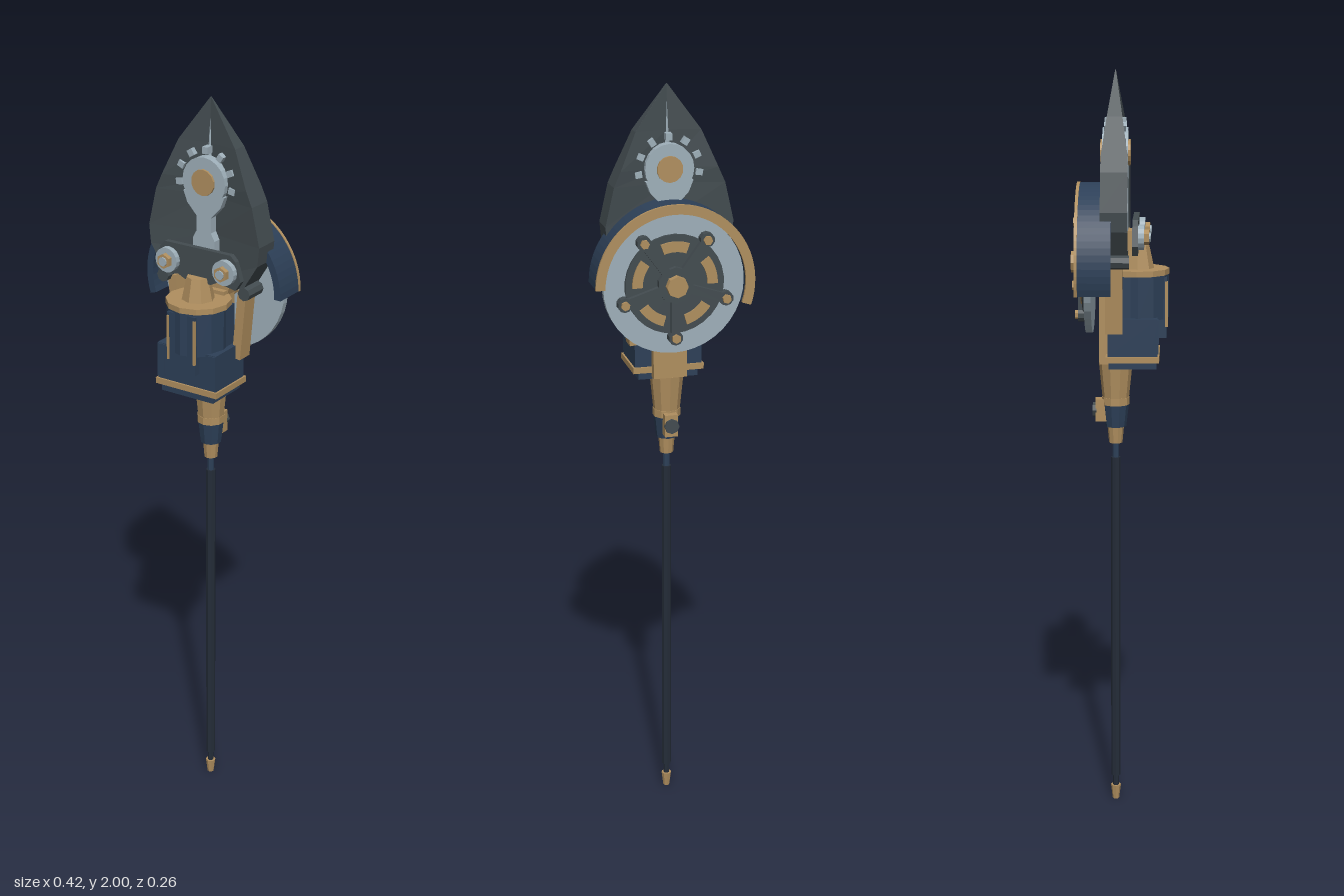
import * as THREE from 'three';

const mat = (color) => new THREE.MeshStandardMaterial({ color, flatShading: true, side: THREE.DoubleSide });
const navy = mat(0x2d4058), dark = mat(0x434c50), black = mat(0x242c38), tan = mat(0xb08f5f), grey = mat(0x9fb0ba);
const AXIS = -0.013; // z of the shaft and blade
const WY = 1.505;    // height of the wheel hub

export function createModel() {
  const model = new THREE.Group();
  const add = (name, geo, m, x = 0, y = 0, z = 0, parent = model) => {
    const mesh = new THREE.Mesh(geo, m);
    mesh.name = name;
    mesh.position.set(x, y, z);
    parent.add(mesh);
    return mesh;
  };
  const box = (name, m, w, h, d, x, y, z, parent) => add(name, new THREE.BoxGeometry(w, h, d), m, x, y, z, parent);
  // upright round part between two heights
  const post = (name, m, y0, y1, r0, r1, z = AXIS, n = 10) =>
    add(name, new THREE.CylinderGeometry(r1, r0, y1 - y0, n), m, 0, (y0 + y1) / 2, z);
  // round part facing front and back
  const disc = (name, m, r, z0, z1, x, y, n = 12, parent = model) =>
    add(name, new THREE.CylinderGeometry(r, r, z1 - z0, n).rotateX(Math.PI / 2), m, x, y, (z0 + z1) / 2, parent);
  // flat outline extruded along z
  const plate = (name, m, shape, z0, z1, x = 0, y = 0, parent = model) =>
    add(name, new THREE.ExtrudeGeometry(shape, { depth: z1 - z0, bevelEnabled: false, curveSegments: 20 }), m, x, y, z0, parent);
  const outline = (pts) => new THREE.Shape(pts.map((p) => new THREE.Vector2(...p)));
  const mirrored = (half) => outline([...half, ...half.slice().reverse().map(([x, y]) => [-x, y])]);
  const band = (r0, r1, a0, a1) => {
    const s = new THREE.Shape();
    s.absarc(0, 0, r1, a0, a1, false);
    s.absarc(0, 0, r0, a1, a0, true);
    return s;
  };

  // shaft and pommel
  post('pommel', tan, 0, 0.04, 0.009, 0.014, AXIS, 8);
  post('pommelNeck', black, 0.04, 0.07, 0.008, 0.008, AXIS, 8);
  post('shaft', black, 0.07, 0.98, 0.013, 0.013, AXIS, 8);
  post('shaftNeck', navy, 0.98, 1.02, 0.009, 0.009, AXIS, 8);
  post('lowerSocket', tan, 1.02, 1.065, 0.018, 0.022);
  post('socketRing', navy, 1.065, 1.08, 0.028, 0.03);
  post('collar', navy, 1.08, 1.135, 0.03, 0.036);
  post('collarRing', tan, 1.125, 1.145, 0.037, 0.037);
  post('neck', tan, 1.14, 1.24, 0.035, 0.045);

  // valve behind the collar
  box('valveBlock', tan, 0.035, 0.06, 0.03, 0, 1.11, -0.052);
  disc('valveRing', dark, 0.02, -0.074, -0.064, 0, 1.11, 8);

  // engine housing
  box('housingFoot', navy, 0.16, 0.02, 0.125, 0, 1.243, 0.033);
  box('housingFlange', tan, 0.19, 0.016, 0.14, 0, 1.26, 0.033);
  box('housing', navy, 0.18, 0.1, 0.13, 0, 1.317, 0.033);
  box('housingBack', tan, 0.09, 0.26, 0.05, 0, 1.37, -0.03);
  post('engineBarrel', navy, 1.36, 1.475, 0.08, 0.08, 0.047, 12);
  box('barrelBack', navy, 0.15, 0.115, 0.06, 0, 1.417, 0.02);
  post('engineCap', tan, 1.475, 1.49, 0.085, 0.085, 0.043, 12);
  post('capDome', tan, 1.49, 1.55, 0.043, 0.03, 0.045, 8);
  box('barrelPanel', navy, 0.085, 0.16, 0.02, 0, 1.39, 0.112);
  for (const s of [-1, 1]) {
    box('panelTrim', tan, 0.006, 0.12, 0.008, s * 0.04, 1.4, 0.121);
    box('cornerRib', navy, 0.022, 0.09, 0.022, s * 0.079, 1.32, 0.09);
    // side struts joining housing and blade
    const strut = box('sideStrut', tan, 0.025, 0.19, 0.045, s * 0.1, 1.425, -0.015);
    strut.rotation.z = -s * 0.09;
    disc('strutPin', dark, 0.018, -0.04, 0.025, s * 0.125, 1.52, 8);
  }

  // blade: thick outer edges, thin along the middle
  const sections = [[2, 0.001, 0.001], [1.885, 0.085, 0.02], [1.79, 0.127, 0.034], [1.75, 0.145, 0.035],
    [1.65, 0.168, 0.035], [1.6, 0.163, 0.035], [1.53, 0.12, 0.035]];
  const pos = [], idx = [];
  for (const [y, w, t] of sections) {
    const c = Math.min(0.005, t);
    for (const [x, z] of [[w, t], [w, -t], [0, -c], [-w, -t], [-w, t], [0, c]]) pos.push(x, y, z);
  }
  for (let i = 0; i < sections.length - 1; i++) {
    for (let j = 0; j < 6; j++) {
      const a = i * 6 + j, b = i * 6 + (j + 1) % 6;
      idx.push(a, b, a + 6, b, b + 6, a + 6);
    }
  }
  const e = (sections.length - 1) * 6;
  idx.push(e, e + 5, e + 1, e + 1, e + 5, e + 2, e + 2, e + 5, e + 3, e + 3, e + 5, e + 4);
  const bladeGeo = new THREE.BufferGeometry();
  bladeGeo.setAttribute('position', new THREE.Float32BufferAttribute(pos, 3));
  bladeGeo.setIndex(idx);
  bladeGeo.computeVertexNormals();
  add('blade', bladeGeo, dark, 0, 0, AXIS);
  const spike = add('bladeRidge', new THREE.ConeGeometry(0.016, 0.15, 4), grey, 0, 1.915, AXIS);
  spike.scale.z = 0.7;

  // blade core: round head on a stem, seen on both faces
  plate('coreStem', grey, mirrored([[0.033, 1.53], [0.033, 1.64], [0.022, 1.66], [0.022, 1.7], [0.05, 1.73],
    [0.062, 1.76]]), AXIS - 0.033, AXIS + 0.033);
  disc('coreHead', grey, 0.064, AXIS - 0.033, AXIS + 0.033, 0, 1.79, 20);
  disc('coreBoss', tan, 0.034, AXIS - 0.039, AXIS + 0.039, 0, 1.79, 14);
  for (let i = 0; i < 7; i++) {
    const a = Math.PI * (-0.05 + i * 1.1 / 6);
    const tooth = box('coreTooth', grey, 0.018, 0.016, 0.056, 0.08 * Math.cos(a), 1.79 + 0.08 * Math.sin(a), AXIS);
    tooth.rotation.z = a;
  }

  // front crossbar with two bolts
  plate('crossbar', dark, mirrored([[0.04, 1.535], [0.06, 1.545], [0.115, 1.535], [0.131, 1.56], [0.115, 1.61],
    [0.1, 1.625]]), 0.033, 0.048);
  box('crossbarMount', tan, 0.08, 0.05, 0.03, 0, 1.565, 0.02);
  for (const s of [-1, 1]) {
    disc('boltWasher', grey, 0.033, 0.048, 0.063, s * 0.087, 1.58, 16);
    disc('boltHead', tan, 0.02, 0.063, 0.076, s * 0.087, 1.58, 6);
    disc('boltTip', grey, 0.012, 0.076, 0.08, s * 0.087, 1.58, 10);
  }

  // rear wheel
  const wheel = new THREE.Group();
  wheel.name = 'wheel';
  wheel.position.y = WY;
  model.add(wheel);
  disc('wheelAxle', tan, 0.05, -0.072, -0.02, 0, 0, 12, wheel);
  disc('wheelDisc', grey, 0.185, -0.09, -0.072, 0, 0, 40, wheel);
  disc('wheelFace', dark, 0.13, -0.098, -0.09, 0, 0, 30, wheel);
  disc('hubPlate', dark, 0.048, -0.112, -0.098, 0, 0, 10, wheel);
  disc('hub', tan, 0.028, -0.13, -0.11, 0, 0, 8, wheel);
  for (let i = 0; i < 5; i++) {
    const arm = new THREE.Group();
    arm.name = 'wheelArm';
    arm.rotation.z = Math.PI + i * Math.PI * 0.4;
    wheel.add(arm);
    box('spoke', dark, 0.024, 0.11, 0.016, 0, 0.085, -0.104, arm);
    disc('armLug', dark, 0.019, -0.112, -0.088, 0, 0.14, 10, arm);
    disc('armBolt', tan, 0.012, -0.12, -0.112, 0, 0.14, 6, arm);
    plate('facePanel', tan, band(0.085, 0.112, Math.PI * 0.59, Math.PI * 0.81), -0.103, -0.096, 0, 0, arm);
  }

  // guard arching over the wheel
  const a1 = Math.PI * 1.1;
  plate('wheelGuard', navy, band(0.188, 0.207, 0, a1), -0.105, -0.02, 0, WY);
  plate('guardRim', tan, band(0.184, 0.209, 0, a1), -0.113, -0.105, 0, WY);

  return model;
}
